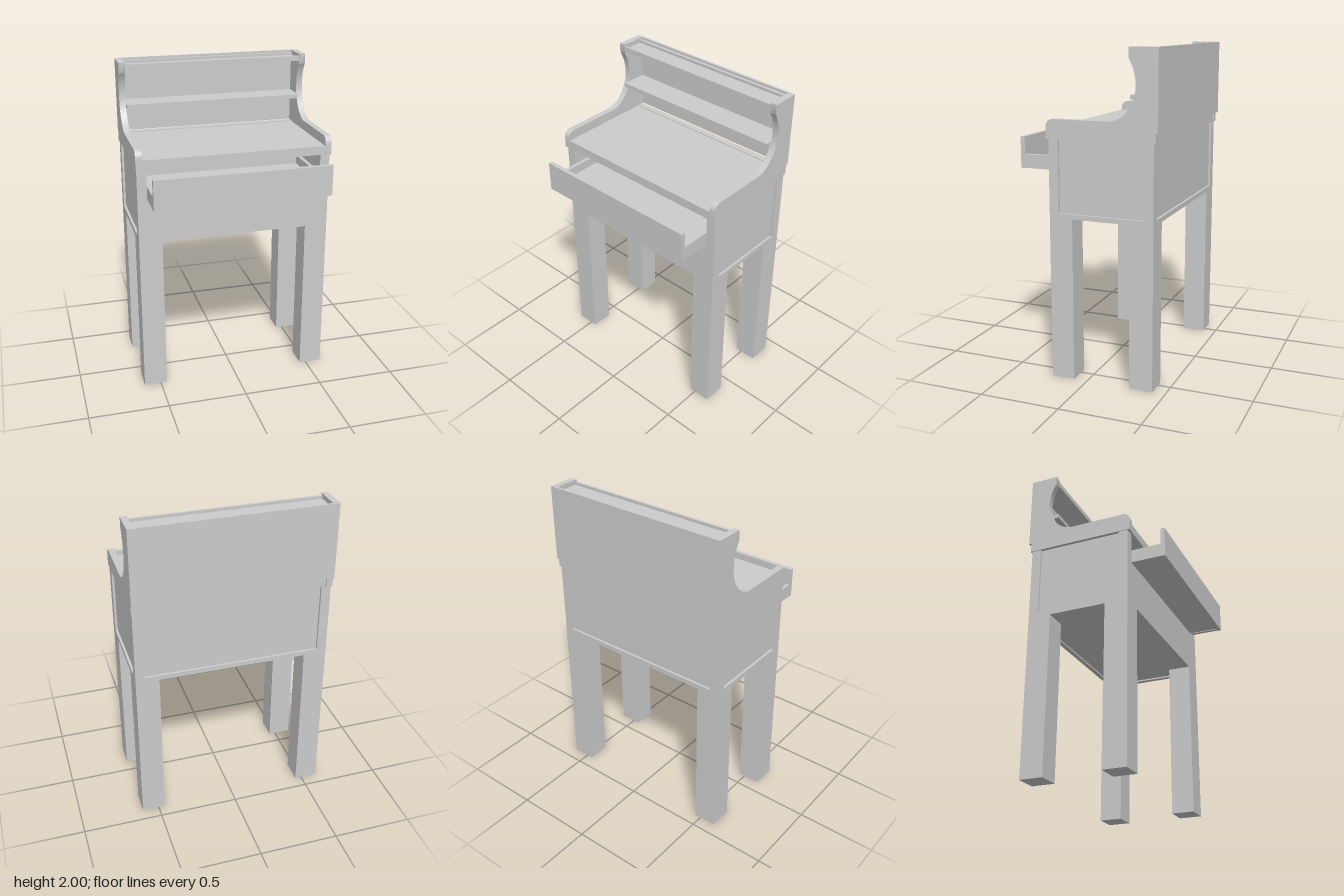
import * as THREE from 'three';
import { toCreasedNormals } from 'three/addons/utils/BufferGeometryUtils.js';

export function createModel() {
  const desk = new THREE.Group();
  desk.name = 'writingDesk';
  const material = new THREE.MeshStandardMaterial({ color: 0xcccccc });

  // Box given by its limits on each axis
  const box = (name, [x0, x1], [y0, y1], [z0, z1], parent = desk) => {
    const mesh = new THREE.Mesh(new THREE.BoxGeometry(x1 - x0, y1 - y0, z1 - z0), material);
    mesh.position.set((x0 + x1) / 2, (y0 + y1) / 2, (z0 + z1) / 2);
    mesh.name = name;
    parent.add(mesh);
    return mesh;
  };
  const mirrored = (side, a, b) => (side > 0 ? [a, b] : [-b, -a]);

  // Scrolled gallery side: x of the shape is depth (z)
  const profile = new THREE.Shape();
  profile.moveTo(-0.43, 1.47);
  profile.lineTo(0.245, 1.47);
  profile.lineTo(0.245, 1.53);
  profile.quadraticCurveTo(0.245, 1.585, 0.195, 1.585);
  profile.lineTo(-0.15, 1.585);
  profile.bezierCurveTo(-0.24, 1.59, -0.31, 1.69, -0.312, 1.78);
  profile.bezierCurveTo(-0.314, 1.84, -0.3, 1.89, -0.27, 1.94);
  profile.lineTo(-0.27, 2);
  profile.lineTo(-0.43, 2);
  profile.closePath();
  const sideGeometry = toCreasedNormals(
    new THREE.ExtrudeGeometry(profile, { depth: 0.04, bevelEnabled: false, curveSegments: 12 })
      .rotateY(-Math.PI / 2), 0.6);

  for (const side of [-1, 1]) {
    // Legs and the slimmer corner posts above them
    box('frontLeg', mirrored(side, 0.46, 0.605), [0, 1], [0.085, 0.23]);
    box('backLeg', mirrored(side, 0.46, 0.605), [0, 1], [-0.42, -0.275]);
    box('frontPost', mirrored(side, 0.545, 0.605), [1, 1.47], [0.17, 0.23]);
    box('backPost', mirrored(side, 0.545, 0.605), [1, 1.47], [-0.42, -0.36]);

    // Recessed side panel over its bottom rail
    box('sidePanel', mirrored(side, 0.565, 0.59), [1.01, 1.47], [-0.36, 0.17]);
    box('sideRail', mirrored(side, 0.575, 0.605), [1, 1.03], [-0.36, 0.17]);

    const gallerySide = new THREE.Mesh(sideGeometry, material);
    gallerySide.name = 'gallerySide';
    gallerySide.position.x = side > 0 ? 0.61 : -0.57;
    desk.add(gallerySide);
  }

  // Cabinet front, back and floor
  box('frontPanel', [-0.545, 0.545], [1, 1.275], [0.205, 0.23]);
  box('backPanel', [-0.545, 0.545], [1.01, 1.47], [-0.405, -0.385]);
  box('backBottomRail', [-0.545, 0.545], [1, 1.03], [-0.42, -0.39]);
  box('backTopRail', [-0.605, 0.605], [1.47, 1.53], [-0.42, -0.38]);
  box('cabinetFloor', [-0.57, 0.57], [1.01, 1.03], [-0.39, 0.21]);

  // Writing surface, gallery back and shelf
  box('writingSurface', [-0.57, 0.57], [1.47, 1.525], [-0.42, 0.243]);
  box('galleryBack', [-0.61, 0.61], [1.53, 2], [-0.445, -0.43]);
  box('shelf', [-0.57, 0.57], [1.71, 1.735], [-0.43, -0.265]);

  // Shallow tray along the top
  box('topBoard', [-0.57, 0.57], [1.955, 1.97], [-0.43, -0.285]);
  box('topFrontLip', [-0.57, 0.57], [1.955, 1.987], [-0.287, -0.272]);
  box('topBackLip', [-0.57, 0.57], [1.97, 1.987], [-0.43, -0.41]);

  // Drawer, pulled part way out
  const drawer = new THREE.Group();
  drawer.name = 'drawer';
  desk.add(drawer);
  box('drawerFront', [-0.545, 0.545], [1.275, 1.465], [0.418, 0.445], drawer);
  box('drawerFloor', [-0.52, 0.52], [1.28, 1.305], [-0.13, 0.418], drawer);
  box('drawerBack', [-0.52, 0.52], [1.28, 1.36], [-0.15, -0.13], drawer);
  for (const side of [-1, 1]) {
    box('drawerSide', mirrored(side, 0.52, 0.544), [1.276, 1.36], [-0.15, 0.418], drawer);
  }
  return desk;
}
